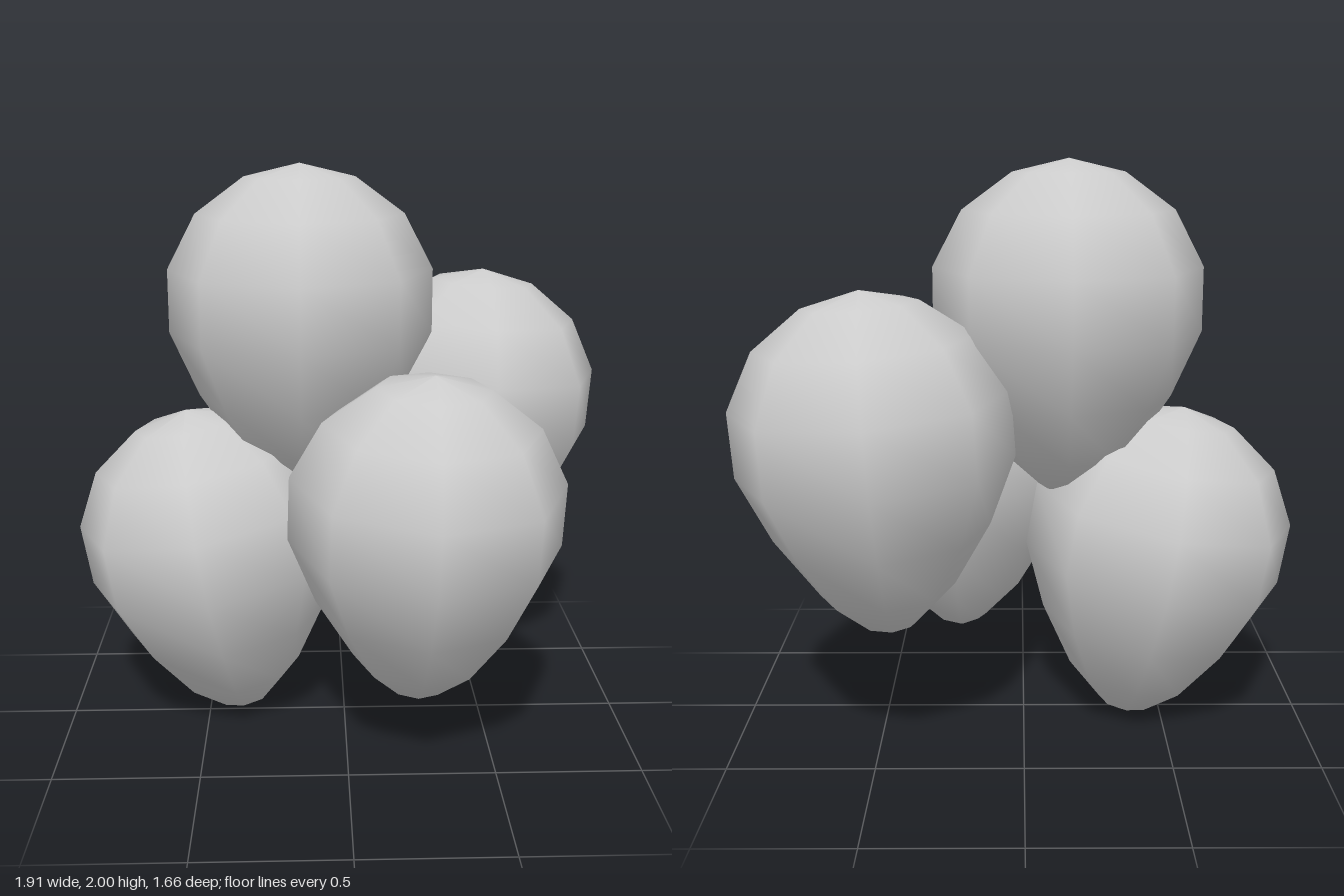
import * as THREE from 'three';

export function createModel() {
  const group = new THREE.Group();
  group.name = 'balloonCluster';
  const material = new THREE.MeshStandardMaterial({ color: 0xcccccc });

  // One balloon, from its tip upwards: [radius, height]
  const profile = [
    [0, 0], [0.095, 0.04], [0.225, 0.155], [0.36, 0.355], [0.46, 0.58],
    [0.46, 0.80], [0.36, 0.99], [0.19, 1.115], [0, 1.16],
  ].map(([r, y]) => new THREE.Vector2(r, y));
  const geometry = new THREE.LatheGeometry(profile, 8);

  // Each balloon is placed by its tip and leans about it
  const balloons = [
    { name: 'topBalloon', tip: [-0.15, 0.84, -0.07], lean: [0, 0, 0] },
    { name: 'frontBalloon', tip: [0.24, 0.205, 0.31], lean: [0.07, 0, -0.035] },
    { name: 'leftBalloon', tip: [0.445, 0.44, -0.37], lean: [0, 0.06, -0.07] },
    { name: 'rightBalloon', tip: [-0.365, 0.005, -0.04], lean: [0, 0, 0.17] },
  ];
  for (const { name, tip, lean } of balloons) {
    const balloon = new THREE.Mesh(geometry, material);
    balloon.name = name;
    balloon.position.set(...tip);
    balloon.rotation.set(...lean);
    group.add(balloon);
  }
  return group;
}
